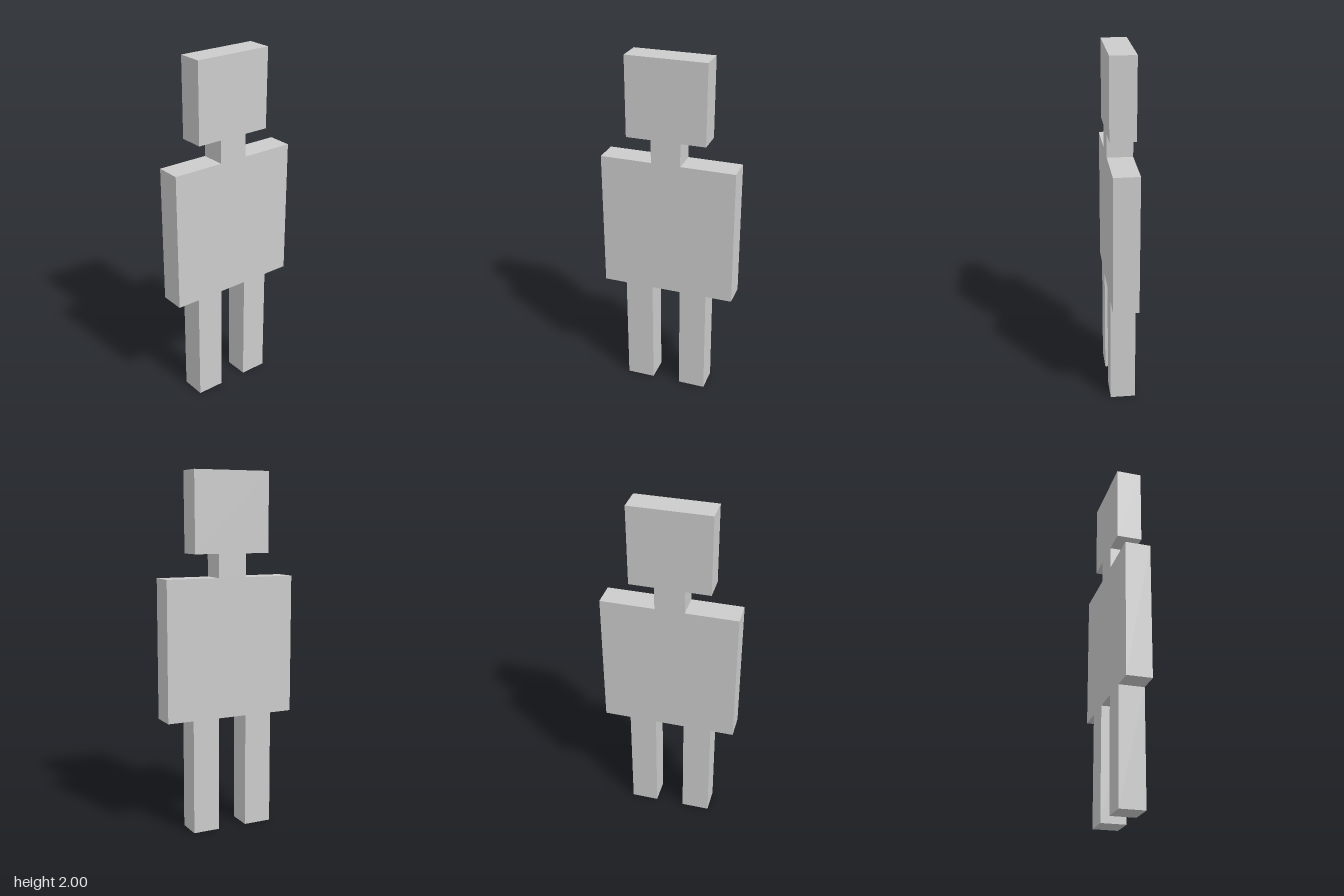
import * as THREE from 'three';

const THICKNESS = 0.142;

// Silhouette as [z, y] corners, counter-clockwise from the front foot.
const OUTLINE = [
  // rear leg
  [-0.23, 0], [-0.075, 0], [-0.075, 0.645],
  // front leg
  [0.09, 0.645], [0.09, 0], [0.25, 0], [0.25, 0.645],
  // torso, front edge
  [0.38, 0.645], [0.38, 1.425],
  // neck and head
  [0.09, 1.425], [0.09, 1.555], [0.23, 1.555], [0.23, 2],
  [-0.218, 2], [-0.215, 1.555], [-0.075, 1.555], [-0.075, 1.425],
  // torso, rear edge
  [-0.38, 1.425], [-0.38, 0.645], [-0.23, 0.645],
];

export function createModel() {
  const group = new THREE.Group();
  group.name = 'flatFigure';

  // One slab: head, neck, torso and legs cut from a single sheet.
  const shape = new THREE.Shape(OUTLINE.map(([z, y]) => new THREE.Vector2(z, y)));
  const geometry = new THREE.ExtrudeGeometry(shape, { depth: THICKNESS, bevelEnabled: false });
  geometry.translate(0, 0, -THICKNESS / 2);
  geometry.rotateY(-Math.PI / 2); // the outline now lies in the z-y plane

  const body = new THREE.Mesh(
    geometry,
    new THREE.MeshStandardMaterial({ color: 0xcccccc, flatShading: true })
  );
  body.name = 'body';
  group.add(body);
  return group;
}
